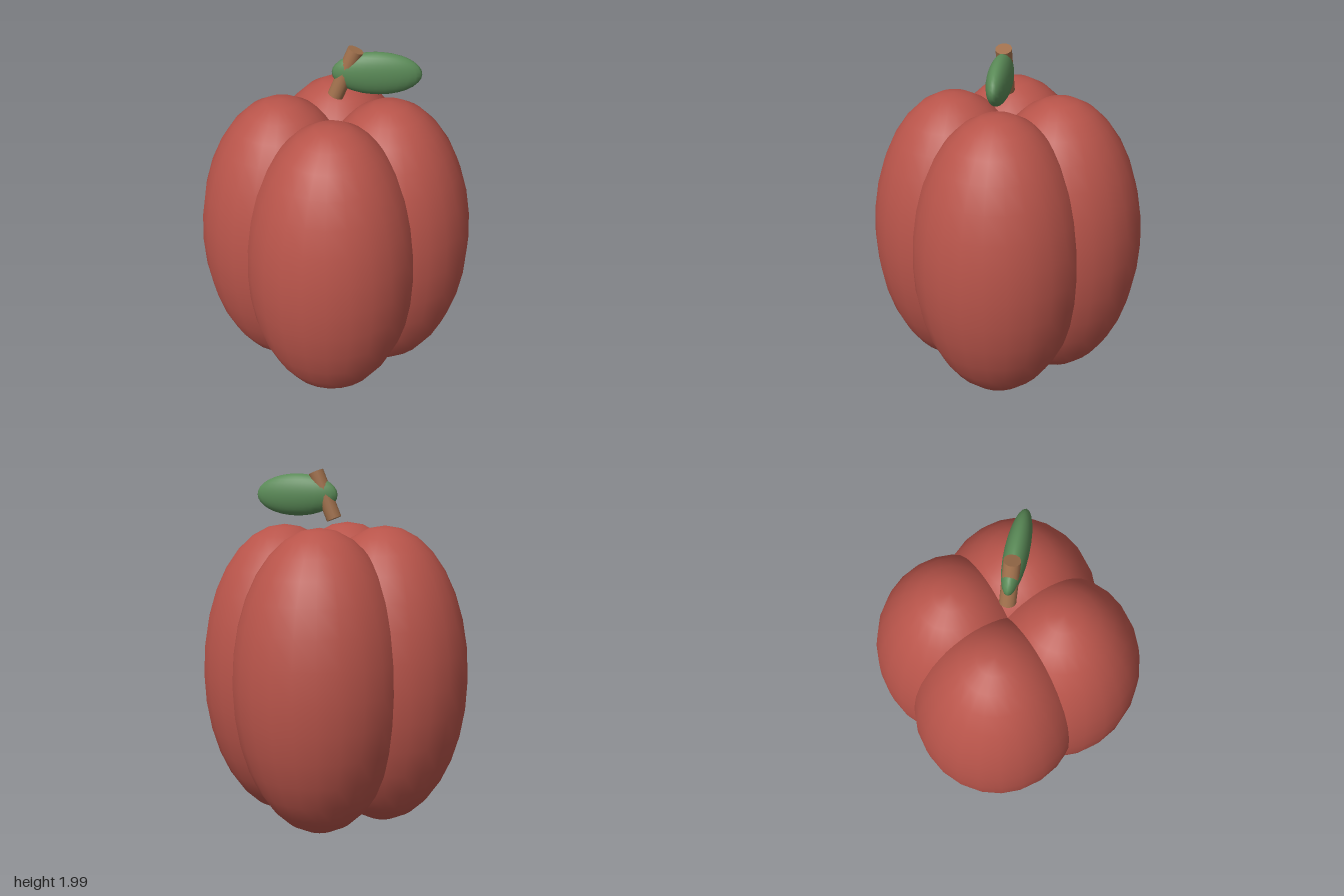
import * as THREE from 'three';

const skin = new THREE.MeshStandardMaterial({ name: 'red skin', color: 0xb8544a });
const wood = new THREE.MeshStandardMaterial({ name: 'brown stem', color: 0xa0704c });
const green = new THREE.MeshStandardMaterial({ name: 'green leaf', color: 0x5a8a57 });

// Smooth ellipsoid with the given radii and centre
function ellipsoid(name, material, radii, centre) {
  const mesh = new THREE.Mesh(new THREE.SphereGeometry(1, 24, 16), material);
  mesh.name = name;
  mesh.scale.set(...radii);
  mesh.position.set(...centre);
  return mesh;
}

export function createModel() {
  const model = new THREE.Group();
  model.name = 'fruit';

  // Four overlapping lobes around the vertical axis
  const lobes = { leftLobe: [1, 0], rightLobe: [-1, 0], frontLobe: [0, 1], backLobe: [0, -1] };
  for (const [name, [x, z]] of Object.entries(lobes)) {
    model.add(ellipsoid(name, skin, [0.475, 0.842, 0.475], [x * 0.29, 0.848, z * 0.29]));
  }

  // Stem leaning to the left
  const stem = new THREE.Mesh(new THREE.CylinderGeometry(0.043, 0.043, 0.277, 16), wood);
  stem.name = 'stem';
  stem.position.set(0.052, 1.85, 0);
  stem.rotation.z = -0.385;
  model.add(stem);

  // Leaf beside the stem
  model.add(ellipsoid('leaf', green, [0.235, 0.116, 0.062], [0.215, 1.853, 0]));

  return model;
}
